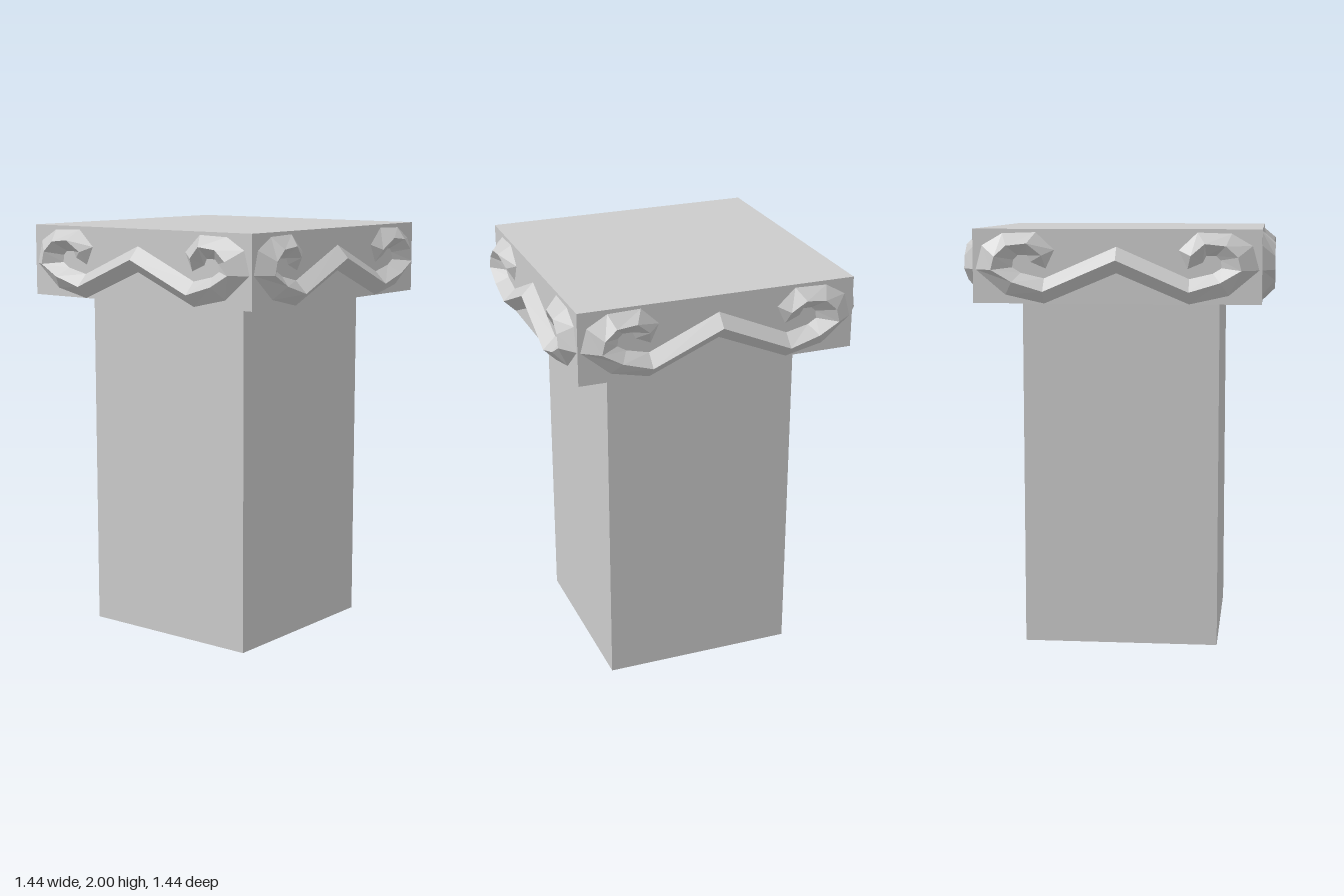
import * as THREE from 'three';

const FACE = 0.663, RIDGE = 0.722;

// Half of the scroll, centre to curl: [outer x, y, ridge x, y, inner x, y, ridge depth]
const HALF = [
  [0, 1.80, 0, 1.86, 0, 1.92, RIDGE],
  [0.333, 1.66, 0.333, 1.717, 0.333, 1.775, RIDGE],
  [0.513, 1.70, 0.475, 1.76, 0.44, 1.80, RIDGE],
  [0.65, 1.815, 0.57, 1.815, 0.48, 1.825, RIDGE],
  [0.62, 1.925, 0.555, 1.875, 0.475, 1.86, RIDGE],
  [0.525, 1.98, 0.50, 1.925, 0.455, 1.88, RIDGE],
  [0.37, 1.985, 0.405, 1.935, 0.41, 1.88, RIDGE],
  [0.285, 1.905, 0.34, 1.88, 0.395, 1.85, 0.70],
  [0.325, 1.82, 0.325, 1.82, 0.325, 1.82, FACE],
];

// Ridged ribbon lofted through triangular cross-sections, mirrored about x = 0
function scrollGeometry() {
  const section = (s, side) => [
    [side * s[0], s[1], FACE],
    [side * s[2], s[3], s[6]],
    [side * s[4], s[5], FACE],
  ];
  const sections = [
    ...HALF.slice(1).reverse().map((s) => section(s, -1)),
    ...HALF.map((s) => section(s, 1)),
  ];
  const positions = [];
  for (let i = 0; i < sections.length - 1; i++) {
    const a = sections[i], b = sections[i + 1];
    for (let j = 0; j < 2; j++) {
      positions.push(...a[j], ...b[j], ...b[j + 1], ...a[j], ...b[j + 1], ...a[j + 1]);
    }
  }
  const geometry = new THREE.BufferGeometry();
  geometry.setAttribute('position', new THREE.Float32BufferAttribute(positions, 3));
  geometry.computeVertexNormals();
  return geometry;
}

export function createModel() {
  const group = new THREE.Group();
  group.name = 'squarePillar';
  const stone = new THREE.MeshStandardMaterial({ color: 0xcccccc, flatShading: true });
  const ornament = new THREE.MeshStandardMaterial({
    color: 0xcccccc, flatShading: true, side: THREE.DoubleSide,
  });

  const addBlock = (name, width, bottom, top) => {
    const mesh = new THREE.Mesh(new THREE.BoxGeometry(width, top - bottom, width), stone);
    mesh.name = name;
    mesh.position.y = (bottom + top) / 2;
    group.add(mesh);
  };
  addBlock('shaft', 0.93, 0, 1.66);
  addBlock('capital', FACE * 2, 1.66, 2);

  // One scroll ornament on each side of the capital
  const geometry = scrollGeometry();
  ['front', 'left', 'back', 'right'].forEach((side, i) => {
    const scroll = new THREE.Mesh(geometry, ornament);
    scroll.name = `${side}Scroll`;
    scroll.rotation.y = (i * Math.PI) / 2;
    group.add(scroll);
  });
  return group;
}
